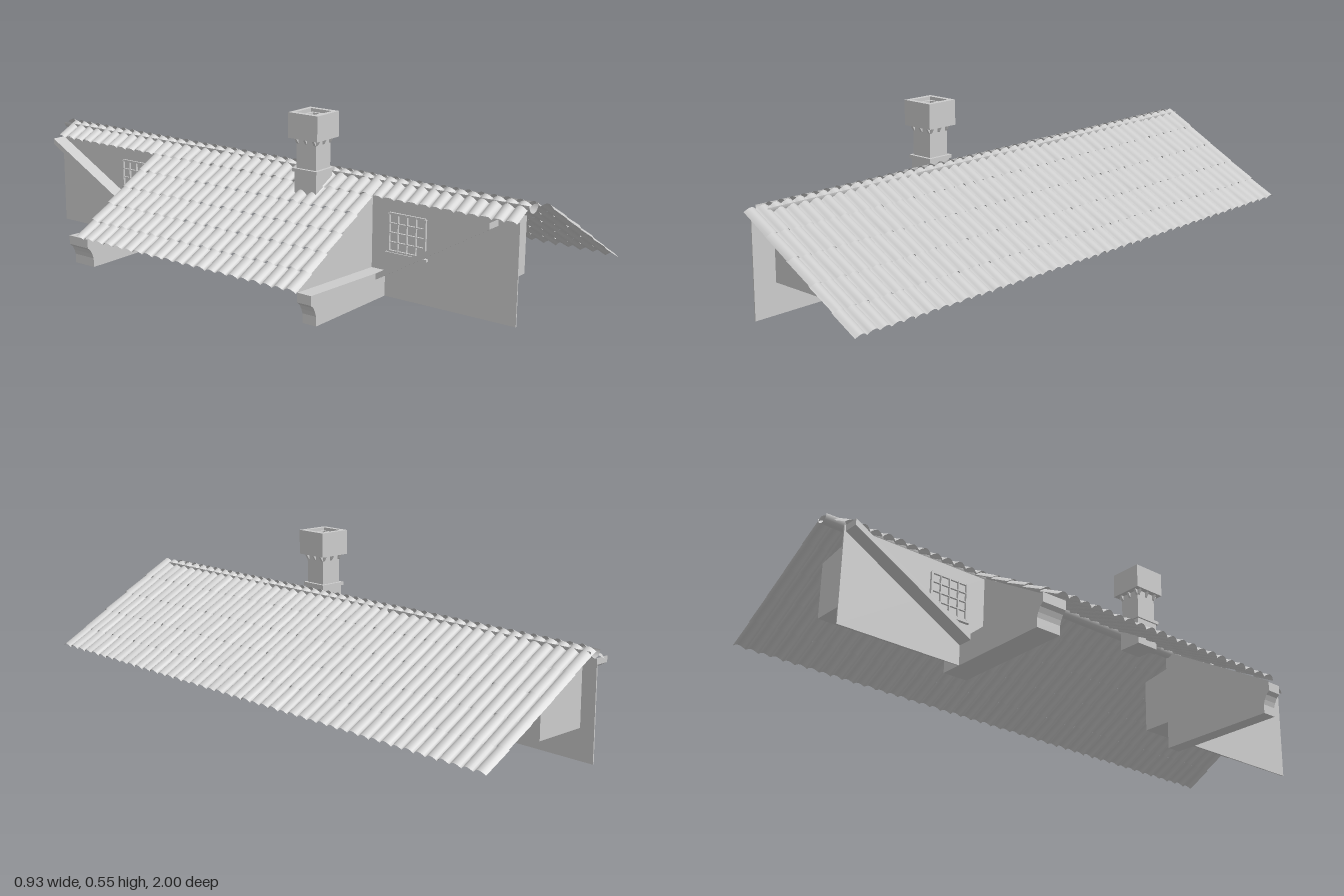
import * as THREE from 'three';
import { mergeGeometries } from 'three/addons/utils/BufferGeometryUtils.js';

const grey = new THREE.MeshStandardMaterial({ color: 0xcccccc, side: THREE.DoubleSide });
const roofY = x => 0.355 - 0.565 * Math.abs(x);

function add(parent, name, geometry) {
  const mesh = new THREE.Mesh(geometry, grey);
  mesh.name = name;
  parent.add(mesh);
  return mesh;
}

// box given by its lower and upper corners
function block(x0, x1, y0, y1, z0, z1) {
  return new THREE.BoxGeometry(x1 - x0, y1 - y0, z1 - z0)
    .translate((x0 + x1) / 2, (y0 + y1) / 2, (z0 + z1) / 2);
}

// outline in x, y pushed along z
function slab(points, z0, z1) {
  const shape = new THREE.Shape(points.map(p => new THREE.Vector2(p[0], p[1])));
  return new THREE.ExtrudeGeometry(shape, { depth: z1 - z0, bevelEnabled: false }).translate(0, 0, z0);
}

// overlapping rows of wavy tiles on one side of the ridge
function tiles(side, xTop, xEave, z0, z1, rows, lift) {
  const pitch = 0.0435, waves = Math.round((z1 - z0) / pitch), parts = [];
  for (let r = 0; r < rows; r++) {
    const geo = new THREE.PlaneGeometry(1, 1, waves * 8, 1);
    const p = geo.attributes.position;
    for (let i = 0; i < p.count; i++) {
      const u = p.getX(i) + 0.5, low = 0.5 - p.getY(i);
      const wobble = 0.0015 * Math.sin(r * 5 + Math.floor(u * waves) * 2.3);
      const h = 0.013 * Math.abs(Math.sin(Math.PI * u * waves)) + low * lift + wobble * low;
      const x = xTop + (xEave - xTop) * (r + low * (r < rows - 1 ? 1.06 : 1)) / rows;
      p.setXYZ(i, side * (x + h * 0.49), roofY(x) + h * 0.87, z0 + (z1 - z0) * u);
    }
    geo.computeVertexNormals();
    parts.push(geo);
  }
  return mergeGeometries(parts);
}

export function createModel() {
  const model = new THREE.Group();

  // tiled roof: long slope, lower wing slope and the short strips beside it
  const roof = new THREE.Group();
  roof.name = 'roof';
  model.add(roof);
  add(roof, 'longSlope', tiles(1, 0, 0.457, -1, 1, 5, 0.003));
  add(roof, 'wingSlope', tiles(-1, 0, 0.457, -0.495, 0.425, 6, 0.006));
  add(roof, 'backStrip', tiles(-1, 0, 0.08, -0.97, -0.495, 1, 0.005));
  add(roof, 'frontStrip', tiles(-1, 0, 0.08, 0.425, 0.93, 1, 0.005));

  // tapered half-round ridge tiles
  const seams = [0.93, 0.355, -0.22, -0.795, -0.99];
  for (let i = 0; i < 4; i++) {
    const length = seams[i] - seams[i + 1] + 0.015;
    const geo = new THREE.CylinderGeometry(0.028, 0.022, length, 12, 1, true, -Math.PI / 2, Math.PI)
      .rotateX(Math.PI / 2);
    const ridge = add(roof, 'ridgeTile', geo);
    ridge.position.set(0, 0.357, (seams[i] + seams[i + 1]) / 2);
    ridge.rotation.x = -0.006;
  }

  // wing gables with a cornice along their feet
  const gable = [[-0.445, 0.08], [0.01, 0.08], [0.01, 0.345], [0, 0.355], [-0.445, 0.104]];
  const cornice = [[-0.42, 0], [0.01, 0], [0.01, 0.08], [-0.445, 0.1], [-0.445, 0.07],
    [-0.433, 0.06], [-0.425, 0.045], [-0.42, 0.03]];
  for (const [wallZ, z0, z1] of [[0.42, 0.42, 0.47], [-0.45, -0.535, -0.45]]) {
    const shape = new THREE.Shape(gable.map(p => new THREE.Vector2(p[0], p[1])));
    add(model, 'gableWall', new THREE.ShapeGeometry(shape).translate(0, 0, wallZ));
    add(model, 'cornice', slab(cornice, z0, z1));
  }

  // both recessed ends: wall, boxed room behind it, sloping plank and window
  const room = [[-0.062, 0.1], [0.125, 0.1], [0.125, 0.282], [-0.062, 0.313]];
  const ends = [
    { s: 1, wall: [0.42, 0.93], room: [0.43, 0.85], plank: [0.47, 0.86], win: 0.55 },
    { s: -1, wall: [-0.96, -0.45], room: [-0.91, -0.49], plank: [-0.535, -0.955], win: -0.585 },
  ];
  for (const e of ends) {
    const end = new THREE.Group();
    end.name = e.s > 0 ? 'frontEnd' : 'backEnd';
    model.add(end);
    add(end, 'sideWall', block(-0.065, -0.061, 0, 0.315, ...e.wall));
    add(end, 'room', slab(room, ...e.room));

    const [zLow, zHigh] = e.plank;
    const plank = new THREE.Shape([
      new THREE.Vector2(zLow, 0.065), new THREE.Vector2(zHigh, 0.295),
      new THREE.Vector2(zHigh, 0.315), new THREE.Vector2(zLow, 0.085)]);
    add(end, 'slopingPlank', new THREE.ExtrudeGeometry(plank, { depth: 0.052, bevelEnabled: false })
      .rotateY(-Math.PI / 2).translate(-0.065, 0, 0));

    // window frame, bars and sill
    const w = 0.065, y0 = 0.15, y1 = 0.27, bars = [];
    for (let i = 0; i <= 4; i++) {
      const t = i % 4 ? 0.003 : 0.007, z = e.win - w + i * w / 2, y = y0 + i * (y1 - y0) / 4;
      bars.push(block(-0.073, -0.065, y0, y1, z - t / 2, z + t / 2));
      bars.push(block(-0.072, -0.065, y - t / 2, y + t / 2, e.win - w, e.win + w));
    }
    bars.push(block(-0.076, -0.065, 0.14, 0.148, e.win - w - 0.01, e.win + w + 0.01));
    add(end, 'window', mergeGeometries(bars));
  }

  // chimney
  const chimney = new THREE.Group();
  chimney.name = 'chimney';
  chimney.position.set(-0.078, 0, 0.2);
  model.add(chimney);
  const square = (h, y0, y1) => block(-h, h, y0, y1, -h, h);
  add(chimney, 'shaft', square(0.038, 0.27, 0.47));
  add(chimney, 'base', square(0.042, 0.27, 0.362));
  add(chimney, 'band', square(0.048, 0.362, 0.373));

  // hollow cap with a flue inside
  const ring = (outer, inner, y0, y1) => {
    const sq = h => [[-h, -h], [h, -h], [h, h], [-h, h]].map(p => new THREE.Vector2(...p));
    const shape = new THREE.Shape(sq(outer));
    shape.holes.push(new THREE.Path(sq(inner)));
    return new THREE.ExtrudeGeometry(shape, { depth: y1 - y0, bevelEnabled: false })
      .rotateX(-Math.PI / 2).translate(0, y0, 0);
  };
  add(chimney, 'cap', ring(0.057, 0.04, 0.47, 0.552));
  add(chimney, 'capFloor', square(0.056, 0.47, 0.5));
  add(chimney, 'flue', ring(0.024, 0.014, 0.5, 0.545));

  // small brackets under the cap
  const bracket = [[0.036, 0.47], [0.036, 0.45], [0.041, 0.455], [0.05, 0.47]];
  for (let k = 0; k < 4; k++) {
    for (const z of [-0.034, 0, 0.034]) {
      add(chimney, 'bracket', slab(bracket, z - 0.004, z + 0.004)).rotation.y = k * Math.PI / 2;
    }
  }
  return model;
}
